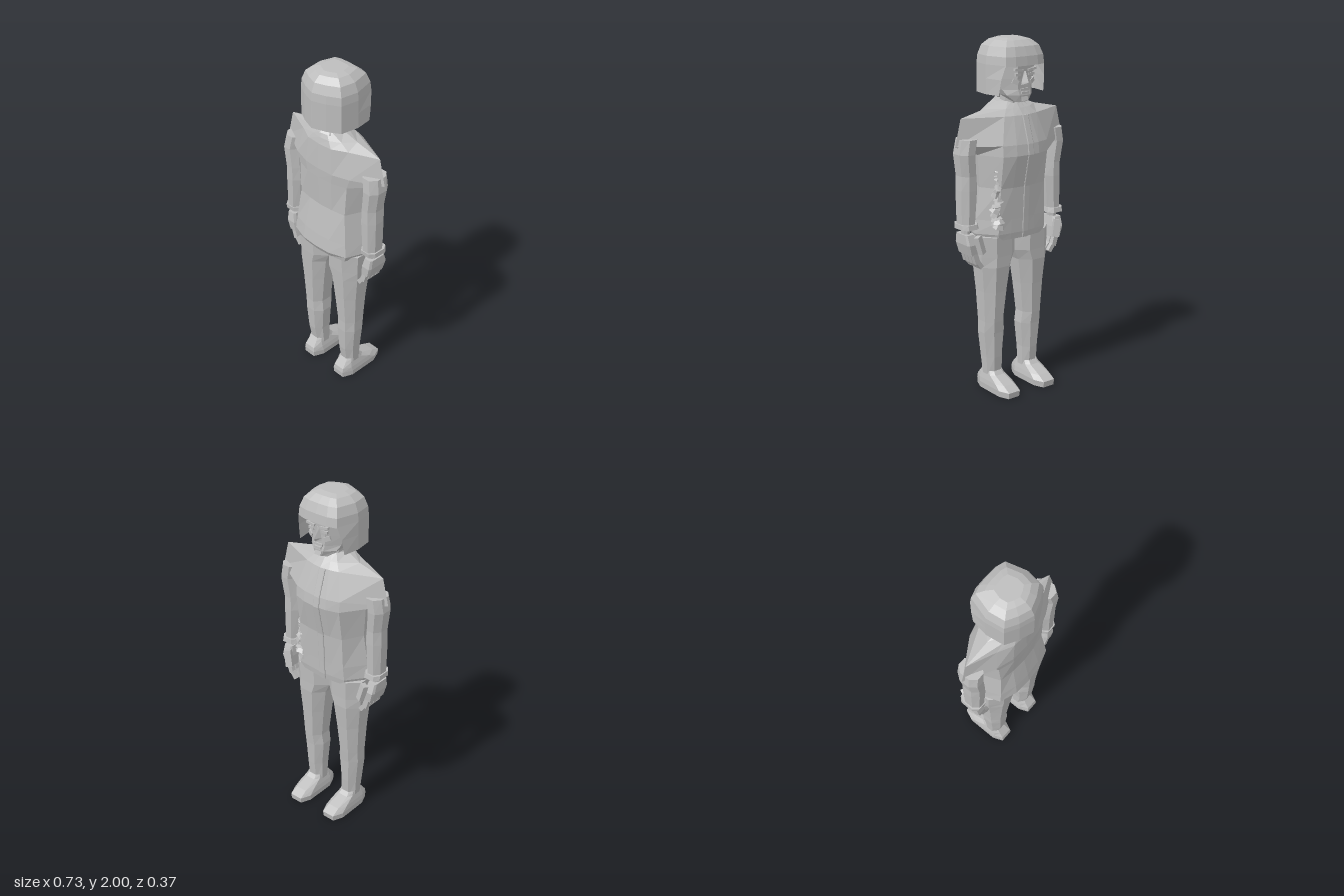
import * as THREE from 'three';

const cloth = new THREE.MeshStandardMaterial({ color: 0xbdbdbd, flatShading: true, side: THREE.DoubleSide });
cloth.name = 'plain grey';

// Skin a stack of rings, each { y, pts: [[x, z], ...] }, listed from bottom to top
function loft(rings, closed = true) {
  const pos = [], n = rings[0].pts.length;
  const put = (r, j) => { const p = r.pts[j % n]; pos.push(p[0], r.y, p[1]); };
  for (let i = 0; i + 1 < rings.length; i++) {
    const a = rings[i], b = rings[i + 1];
    for (let j = 0; j < (closed ? n : n - 1); j++) {
      put(a, j); put(a, j + 1); put(b, j + 1);
      put(a, j); put(b, j + 1); put(b, j);
    }
  }
  if (closed) {
    const lo = rings[0], hi = rings[rings.length - 1];
    for (let j = 1; j < n - 1; j++) {
      put(lo, 0); put(lo, j + 1); put(lo, j);
      put(hi, 0); put(hi, j); put(hi, j + 1);
    }
  }
  const g = new THREE.BufferGeometry();
  g.setAttribute('position', new THREE.Float32BufferAttribute(pos, 3));
  g.computeVertexNormals();
  return g;
}

// Chamfered rectangle ring; s mirrors it to the other side
function oct([y, xa, xb, z0, z1], s = 1, c = 0.28) {
  const x0 = Math.min(xa * s, xb * s), x1 = Math.max(xa * s, xb * s);
  const cx = (x1 - x0) * c, cz = (z1 - z0) * c;
  return { y, pts: [[x0 + cx, z1], [x1 - cx, z1], [x1, z1 - cz], [x1, z0 + cz],
    [x1 - cx, z0], [x0 + cx, z0], [x0, z0 + cz], [x0, z1 - cz]] };
}
const octLoft = (rows, s = 1, c = 0.28) => loft(rows.map(r => oct(r, s, c)));

// Symmetric ring from its +x half, listed from the back round to the front
function sym(y, half) {
  const mirrored = half.filter(p => p[0] > 0).map(([x, z]) => [-x, z]).reverse();
  return { y, pts: [...half, ...mirrored] };
}

function add(parent, name, geometry, p = [0, 0, 0], r = [0, 0, 0]) {
  const m = new THREE.Mesh(geometry, cloth);
  m.name = name;
  m.position.set(...p);
  m.rotation.set(...r);
  parent.add(m);
  return m;
}
const box = (w, h, d) => new THREE.BoxGeometry(w, h, d);

export function createModel() {
  const model = new THREE.Group();
  model.name = 'standingFigure';

  // Jacket body and broad shoulders: y, back z, back corner, side, front corner, front z
  const body = [
    [0.905, 0.15, 0.185, 0.125, 0.225, 0.02, 0.15, -0.085, -0.1],
    [0.94, 0.17, 0.2, 0.13, 0.243, 0.02, 0.16, -0.09, -0.105],
    [1.02, 0.16, 0.19, 0.125, 0.235, 0.02, 0.155, -0.095, -0.108],
    [1.2, 0.13, 0.17, 0.11, 0.21, 0.015, 0.15, -0.1, -0.118],
    [1.38, 0.14, 0.18, 0.105, 0.22, 0.015, 0.15, -0.125, -0.155],
    [1.44, 0.143, 0.2, 0.105, 0.367, 0.015, 0.15, -0.12, -0.148],
    [1.59, 0.135, 0.17, 0.085, 0.33, 0.015, 0.11, -0.08, -0.1],
    [1.625, 0.125, 0.12, 0.085, 0.17, 0.02, 0.08, -0.055, -0.07],
    [1.66, 0.11, 0.06, 0.09, 0.08, 0.03, 0.045, -0.02, -0.035],
  ];
  add(model, 'jacket', loft(body.map(([y, zb, bx, bz, sx, sz, fx, fz, zf]) =>
    sym(y, [[0, zb], [bx * 0.5, zb - 0.006], [bx, bz], [sx, sz], [fx, fz], [fx * 0.5, zf + 0.006], [0, zf]]))));
  // Overlapping front edge of the jacket
  add(model, 'jacketPlacket', octLoft(body.slice(0, 7).map(r =>
    [r[0], -0.035, 0.005, r[8] - 0.004, r[8] + 0.02]), 1, 0.1));
  add(model, 'collar', new THREE.CylinderGeometry(0.066, 0.088, 0.045, 10, 1, true), [0, 1.65, 0.035], [-0.3, 0, 0]);

  // Crumpled cloth tucked against the left front of the waist
  const crumple = new THREE.Group();
  crumple.name = 'crumpledCloth';
  let seed = 7;
  const rnd = () => (seed = (seed * 16807) % 2147483647) / 2147483647 - 0.5;
  for (let i = 0; i < 15; i++) {
    const t = i / 14, w = 0.042 - 0.024 * t;
    const g = new THREE.CylinderGeometry(w * 0.7, w, 0.024, 6);
    add(crumple, 'clothFold', g, [0.155 + rnd() * 0.025, 0.99 + t * 0.31, -0.075 + rnd() * 0.016],
      [rnd() * 0.9, rnd() * 3, rnd() * 0.9]);
  }
  model.add(crumple);

  for (const s of [1, -1]) {
    const side = s > 0 ? 'left' : 'right';

    // Trouser leg
    add(model, side + 'Leg', octLoft([
      [0.085, 0.075, 0.178, -0.03, 0.065], [0.2, 0.075, 0.185, -0.04, 0.085],
      [0.35, 0.062, 0.2, -0.048, 0.095], [0.42, 0.07, 0.2, -0.055, 0.095],
      [0.6, 0.05, 0.21, -0.07, 0.108], [0.75, 0.028, 0.225, -0.085, 0.12],
      [0.81, 0, 0.23, -0.085, 0.125], [0.925, 0, 0.234, -0.088, 0.13],
    ], s));

    // Shoe
    add(model, side + 'Shoe', octLoft([
      [0, 0.065, 0.188, -0.185, 0.112], [0.035, 0.062, 0.19, -0.19, 0.115],
      [0.062, 0.068, 0.186, -0.14, 0.11], [0.095, 0.078, 0.178, -0.055, 0.085],
      [0.115, 0.085, 0.172, -0.035, 0.07],
    ], s, 0.2));

    // Sleeve, cuff and wrist
    add(model, side + 'Sleeve', octLoft([
      [1.0, 0.255, 0.342, -0.035, 0.08], [1.2, 0.24, 0.345, -0.04, 0.085],
      [1.28, 0.245, 0.342, -0.04, 0.085], [1.4, 0.255, 0.358, -0.05, 0.088],
      [1.48, 0.24, 0.345, -0.05, 0.08],
    ], s));
    add(model, side + 'Cuff', octLoft([
      [0.985, 0.245, 0.352, -0.05, 0.082], [1.012, 0.25, 0.35, -0.045, 0.085],
    ], s, 0.22));
    add(model, side + 'Wrist', octLoft([
      [0.93, 0.285, 0.325, -0.01, 0.05], [0.99, 0.28, 0.325, -0.015, 0.05],
    ], s));

    // Hand with curled fingers
    const hand = new THREE.Group();
    hand.name = side + 'Hand';
    add(hand, 'palm', octLoft([
      [0.84, 0.262, 0.318, -0.05, 0.075], [0.9, 0.268, 0.335, -0.055, 0.08], [0.955, 0.28, 0.335, -0.035, 0.07],
    ], s, 0.12));
    for (let i = 0; i < 4; i++) {
      const z = -0.037 + i * 0.032;
      add(hand, 'finger', box(0.03, 0.07, 0.027), [s * 0.28, 0.823, z], [0, 0, -s * 0.3]);
      add(hand, 'fingertip', box(0.025, 0.05, 0.024), [s * 0.255, 0.78, z], [0, 0, -s * 0.65]);
    }
    add(hand, 'thumb', box(0.04, 0.1, 0.03), [s * 0.27, 0.9, -0.068], [0.2, s * 0.4, -s * 0.25]);
    model.add(hand);
  }

  // Neck and face
  add(model, 'neck', octLoft([[1.6, -0.055, 0.055, -0.04, 0.07], [1.75, -0.052, 0.052, -0.045, 0.06]]));
  const head = new THREE.Group();
  head.name = 'head';
  add(head, 'face', octLoft([
    [1.665, -0.045, 0.045, -0.11, -0.04], [1.7, -0.085, 0.085, -0.115, 0.04],
    [1.73, -0.1, 0.1, -0.11, 0.1], [1.79, -0.115, 0.115, -0.112, 0.12], [1.88, -0.12, 0.12, -0.12, 0.12],
  ], 1, 0.3));
  add(head, 'nose', loft([
    sym(1.755, [[0, -0.1], [0.022, -0.11], [0, -0.138]]),
    sym(1.77, [[0, -0.1], [0.02, -0.11], [0, -0.148]]),
    sym(1.83, [[0, -0.1], [0.01, -0.11], [0, -0.122]]),
  ]));
  add(head, 'upperLip', box(0.06, 0.012, 0.012), [0, 1.732, -0.112]);
  add(head, 'lowerLip', box(0.045, 0.012, 0.014), [0, 1.714, -0.114]);
  add(head, 'chin', box(0.04, 0.025, 0.016), [0, 1.68, -0.11], [0.3, 0, 0]);
  for (const s of [1, -1]) {
    add(head, 'eyebrow', box(0.055, 0.012, 0.016), [s * 0.045, 1.838, -0.117], [0, 0, s * 0.12]);
    add(head, 'eye', box(0.036, 0.014, 0.012), [s * 0.045, 1.812, -0.112]);
    add(head, 'cheek', box(0.035, 0.025, 0.012), [s * 0.055, 1.775, -0.105], [0, s * -0.4, s * 0.4]);
  }

  // Bobbed hair: open round the face, closed above the brow
  const curtain = (y, fx, fz) => {
    const half = [[0.001, 0.183], [0.08, 0.155], [0.15, 0.115], [0.166, 0.01], [fx, fz]];
    return { y, pts: [...half.map(([x, z]) => [-x, z]).reverse(), ...half] };
  };
  add(head, 'hairSides', loft([curtain(1.705, 0.152, -0.085), curtain(1.79, 0.146, -0.1),
    curtain(1.865, 0.13, -0.118)], false));
  const crown = [[0, 0.183], [0.08, 0.155], [0.15, 0.115], [0.166, 0.01], [0.13, -0.118], [0.075, -0.135], [0, -0.138]];
  const cap = (y, k) => sym(y, crown.map(([x, z]) => [x * k, 0.025 + (z - 0.025) * k]));
  add(head, 'hairCrown', loft([cap(1.86, 1), cap(1.91, 0.97), cap(1.96, 0.85), cap(1.99, 0.62), cap(2.0, 0.4)]));
  model.add(head);

  return model;
}
